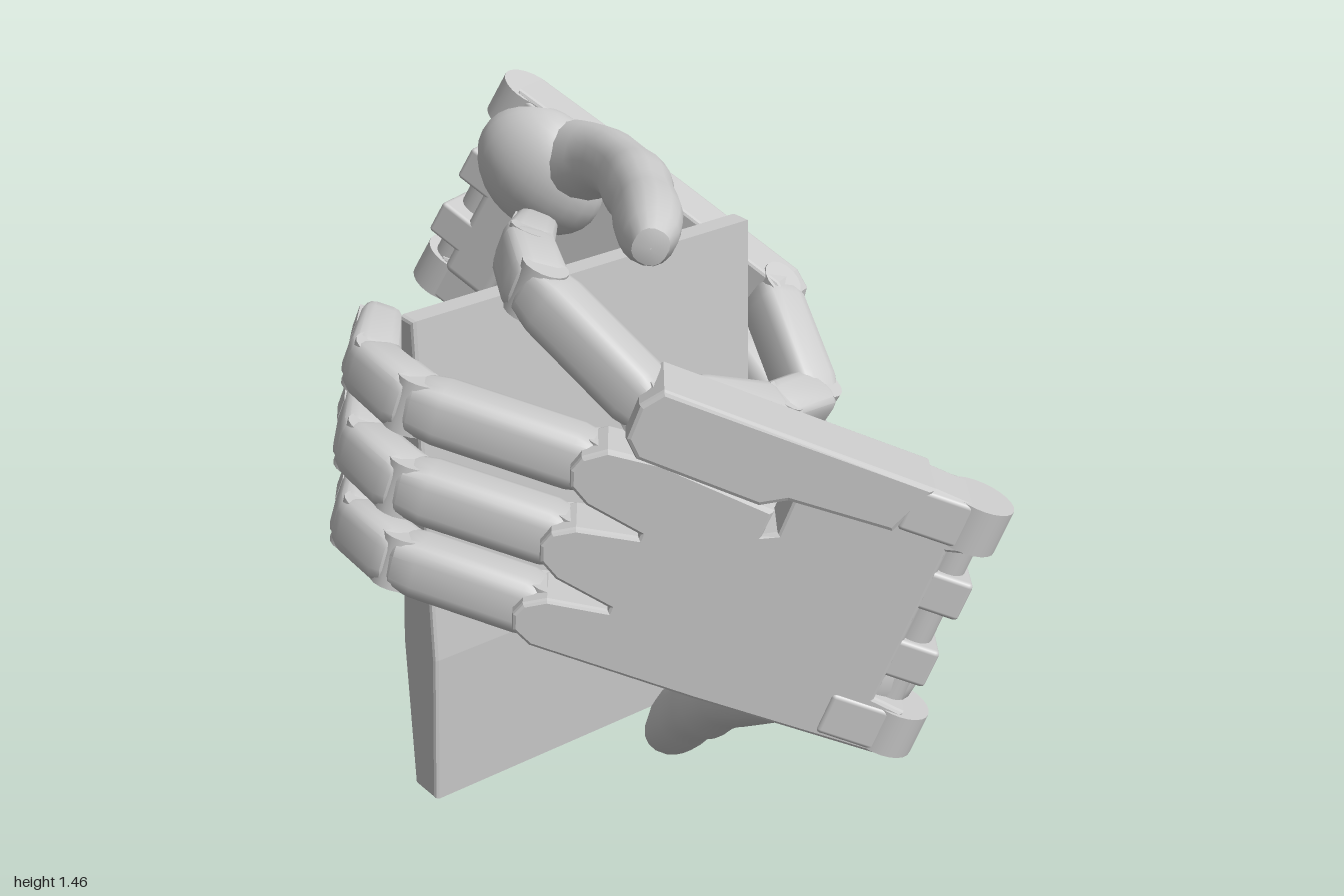
import * as THREE from 'three';
import { toCreasedNormals } from 'three/addons/utils/BufferGeometryUtils.js';
import { RoundedBoxGeometry } from 'three/addons/geometries/RoundedBoxGeometry.js';

const grey = new THREE.MeshStandardMaterial({ color: 0xcccccc });
const V = (p) => new THREE.Vector3(...p);

function add(parent, name, geometry, x = 0, y = 0, z = 0) {
  const mesh = new THREE.Mesh(geometry, grey);
  mesh.name = name;
  mesh.position.set(x, y, z);
  parent.add(mesh);
  return mesh;
}

// Skin a row of rounded-rectangle sections; sizes are [half width, half thickness]
function loft(points, sizes, across, power = 0.5, sides = 16) {
  const pos = [], index = [], n = points.length;
  points.forEach((p, i) => {
    const d = points[Math.min(i + 1, n - 1)].clone().sub(points[Math.max(i - 1, 0)]).normalize();
    const s = across.clone().addScaledVector(d, -across.dot(d)).normalize();
    const up = s.clone().cross(d);
    for (let j = 0; j < sides; j++) {
      const t = ((j + 0.5) / sides) * Math.PI * 2, c = Math.cos(t), k = Math.sin(t);
      const q = p.clone()
        .addScaledVector(s, Math.sign(c) * Math.abs(c) ** power * sizes[i][0])
        .addScaledVector(up, Math.sign(k) * Math.abs(k) ** power * sizes[i][1]);
      pos.push(q.x, q.y, q.z);
      if (i < n - 1) {
        const a = i * sides + j, b = i * sides + (j + 1) % sides;
        index.push(a, a + sides, b, b, a + sides, b + sides);
      }
    }
  });
  const g = new THREE.BufferGeometry();
  g.setAttribute('position', new THREE.Float32BufferAttribute(pos, 3));
  g.setIndex(index);
  return toCreasedNormals(g, 0.6);
}

// One straight finger bone with rounded ends
function bone(a, b, r0, r1, across) {
  const ts = [0, 0.01, 0.07, 0.18, 0.8, 0.93, 0.99, 1];
  const ks = [0.01, 0.55, 0.85, 1, 1, 0.88, 0.55, 0.01];
  const sizes = ts.map((t, i) => {
    const r = ks[i] * (r0 + (r1 - r0) * t);
    return [r, r];
  });
  return loft(ts.map((t) => a.clone().lerp(b, t)), sizes, across);
}

function hinge(parent, p, across, radius, length) {
  const m = add(parent, 'fingerHinge', new THREE.CylinderGeometry(radius, radius, length, 16), p.x, p.y, p.z);
  m.quaternion.setFromUnitVectors(new THREE.Vector3(0, 1, 0), across);
}

function buildFinger(hand, name, pts, across) {
  const g = new THREE.Group();
  g.name = name;
  hand.add(g);
  const radii = [0.064, 0.064, 0.06, 0.046];
  for (let i = 0; i < 3; i++) {
    const d = pts[i + 1].clone().sub(pts[i]).normalize();
    const end = pts[i + 1].clone().addScaledVector(d, 0.03);
    const start = pts[i].clone().addScaledVector(d, -0.025);
    add(g, ['proximalBone', 'middleBone', 'fingertip'][i], bone(start, end, radii[i], radii[i + 1], across));
    const s = across.clone().addScaledVector(d, -across.dot(d)).normalize();
    hinge(g, pts[i], s, radii[i] * 0.8, radii[i] * 1.8);
    if (i === 2) {
      const up = s.clone().cross(d);
      const at = pts[2].clone().lerp(pts[3], 0.82).addScaledVector(up, 0.042);
      const nail = add(g, 'nail', new THREE.BoxGeometry(0.055, 0.02, 0.075), at.x, at.y, at.z);
      nail.quaternion.setFromRotationMatrix(new THREE.Matrix4().makeBasis(s, up, s.clone().cross(up)));
    }
  }
}

// Palm frame: x towards wrist, y across, z out of the back of the hand; thumb on side * y
function buildPalm(side) {
  const g = new THREE.Group();
  g.name = 'palm';
  const outline = [
    [0.32, 0.3], [0.32, 0.2], [0.25, 0.19], [0.25, -0.19], [0.29, -0.2], [0.29, -0.29], [0.16, -0.3],
    [-0.07, -0.29], [-0.07, -0.1], [-0.11, -0.08], [-0.11, -0.14], [-0.34, -0.16],
    [-0.36, -0.16], [-0.46, -0.15], [-0.5, -0.12], [-0.51, -0.09], [-0.5, -0.06], [-0.46, -0.035], [-0.33, -0.01],
    [-0.33, 0.01], [-0.46, 0.035], [-0.5, 0.06], [-0.51, 0.09], [-0.5, 0.12], [-0.46, 0.145], [-0.33, 0.17],
    [-0.33, 0.19], [-0.46, 0.21], [-0.5, 0.235], [-0.51, 0.26], [-0.5, 0.29], [-0.46, 0.31], [-0.1, 0.31],
  ];
  const shape = new THREE.Shape(outline.map(([x, y]) => new THREE.Vector2(x, y * side)));
  const plate = new THREE.ExtrudeGeometry(shape, {
    depth: 0.11, bevelEnabled: true, bevelThickness: 0.01, bevelSize: 0.008, bevelSegments: 2,
  });
  add(g, 'palmPlate', plate, 0, 0, -0.12);

  // Separate moving cover on the little finger side
  const cover = new THREE.Shape([[0.17, -0.3], [0.13, -0.2], [-0.09, -0.19], [-0.14, -0.16], [-0.4, -0.17],
    [-0.43, -0.2], [-0.43, -0.27], [-0.4, -0.31]].map(([x, y]) => new THREE.Vector2(x, y * side)));
  add(g, 'littleFingerCover', new THREE.ExtrudeGeometry(cover, {
    depth: 0.14, bevelThickness: 0.01, bevelSize: 0.01, bevelSegments: 2,
  }), 0, 0, -0.145);

  // Thumb mound
  add(g, 'thumbMound', new THREE.SphereGeometry(1, 24, 16), 0.18, 0.17 * side, -0.12).scale.set(0.18, 0.15, 0.11);

  // Wrist fork, hinge and body
  for (const [x, y] of [[0.32, 0.25 * side], [0.29, -0.25 * side]]) {
    add(g, 'wristLug', new THREE.CylinderGeometry(0.075, 0.075, 0.1, 24), x, y, -0.065);
    add(g, 'wristLugBase', new RoundedBoxGeometry(0.16, 0.1, 0.14, 2, 0.01), x - 0.07, y, -0.065);
  }
  add(g, 'wristPin', new THREE.CylinderGeometry(0.045, 0.045, 0.42, 20), 0.29, 0, -0.08);
  add(g, 'wristBody', new RoundedBoxGeometry(0.14, 0.4, 0.15, 2, 0.02), 0.2, 0, -0.095);
  for (const y of [-0.09, 0.08]) {
    add(g, 'wristBlock', new RoundedBoxGeometry(0.12, 0.09, 0.15, 2, 0.01), 0.29, y, -0.095);
  }
  return g;
}

function buildHand(name, spec) {
  const hand = new THREE.Group();
  hand.name = name;
  const X = V(spec.toWrist).normalize();
  const Y = V(spec.across);
  Y.addScaledVector(X, -Y.dot(X)).normalize();
  const matrix = new THREE.Matrix4().makeBasis(X, Y, X.clone().cross(Y)).setPosition(...spec.centre);
  const palm = buildPalm(spec.side);
  palm.applyMatrix4(matrix);
  hand.add(palm);

  // Fingers start at the knuckles and pass through their joints
  const knuckles = [[-0.45, 0.26], [-0.45, 0.09], [-0.45, -0.09], [-0.39, -0.24]];
  ['indexFinger', 'middleFinger', 'ringFinger', 'littleFinger'].forEach((label, i) => {
    const k = new THREE.Vector3(knuckles[i][0], knuckles[i][1] * spec.side, -0.082).applyMatrix4(matrix);
    buildFinger(hand, label, [k, ...spec.fingers[i].map(V)], Y);
  });

  // Smooth thumb with slight swellings at the joints
  const path = new THREE.CatmullRomCurve3(spec.thumb.map(V)).getPoints(14);
  const r = [0.1, 0.095, 0.088, 0.081, 0.076, 0.072, 0.073, 0.08, 0.08, 0.073, 0.076, 0.078, 0.073, 0.064, 0.042];
  const tip = path[14].clone().addScaledVector(path[14].clone().sub(path[13]).normalize(), 0.01);
  add(hand, 'thumb', loft([...path, tip], [...r.map((k) => [k, k * 0.93]), [0.001, 0.001]], Y, 0.85));
  return hand;
}

export function createModel() {
  const model = new THREE.Group();
  model.name = 'handsHoldingBoard';

  // Board, thickest below the middle
  const section = new THREE.Shape([[-0.02, 0.125], [0.05, 0.125], [0.068, 0.5], [0.032, 1.3], [0, 1.3], [-0.043, 0.5]]
    .map((p) => new THREE.Vector2(...p)));
  const board = new THREE.ExtrudeGeometry(section, {
    depth: 0.89, bevelThickness: 0.01, bevelSize: 0.008, bevelSegments: 2,
  });
  board.rotateY(-Math.PI / 2);
  add(model, 'board', board, 0.4, 0, 0);

  model.add(buildHand('frontHand', {
    side: -1,
    centre: [-0.05, 0.84, 0.735],
    toWrist: [0.57, -0.27, 0.465],
    across: [0.15, 0.53, 0.085],
    fingers: [
      [[-0.6, 0.82, 0.11], [-0.6, 0.83, -0.05], [-0.48, 0.82, -0.22]],
      [[-0.58, 0.99, 0.11], [-0.58, 1.01, -0.05], [-0.46, 1.01, -0.23]],
      [[-0.55, 1.17, 0.11], [-0.55, 1.19, -0.05], [-0.43, 1.2, -0.2]],
      [[-0.28, 1.37, 0.17], [-0.21, 1.385, 0.03], [-0.06, 1.34, -0.14]],
    ],
    thumb: [[0.04, 0.56, 0.66], [0.01, 0.46, 0.53], [0.04, 0.34, 0.38], [0.09, 0.2, 0.23], [0.155, 0.035, 0.075]],
  }));

  model.add(buildHand('rearHand', {
    side: 1,
    centre: [0.44, 1.0, -0.59],
    toWrist: [-0.26, 0.35, -0.63],
    across: [0.17, 0.515, 0.24],
    fingers: [
      [[0.51, 0.87, 0.16], [0.36, 0.9, 0.2], [0.12, 1.01, 0.2]],
      [[0.54, 0.71, 0.14], [0.42, 0.7, 0.27], [0.2, 0.7, 0.36]],
      [[0.53, 0.57, 0.13], [0.46, 0.53, 0.28], [0.33, 0.46, 0.4]],
      [[0.54, 0.42, -0.01], [0.47, 0.4, 0.12], [0.33, 0.38, 0.23]],
    ],
    thumb: [[0.36, 1.28, -0.54], [0.34, 1.33, -0.4], [0.25, 1.365, -0.18], [0.13, 1.38, 0.02], [0.02, 1.385, 0.17]],
  }));
  return model;
}
